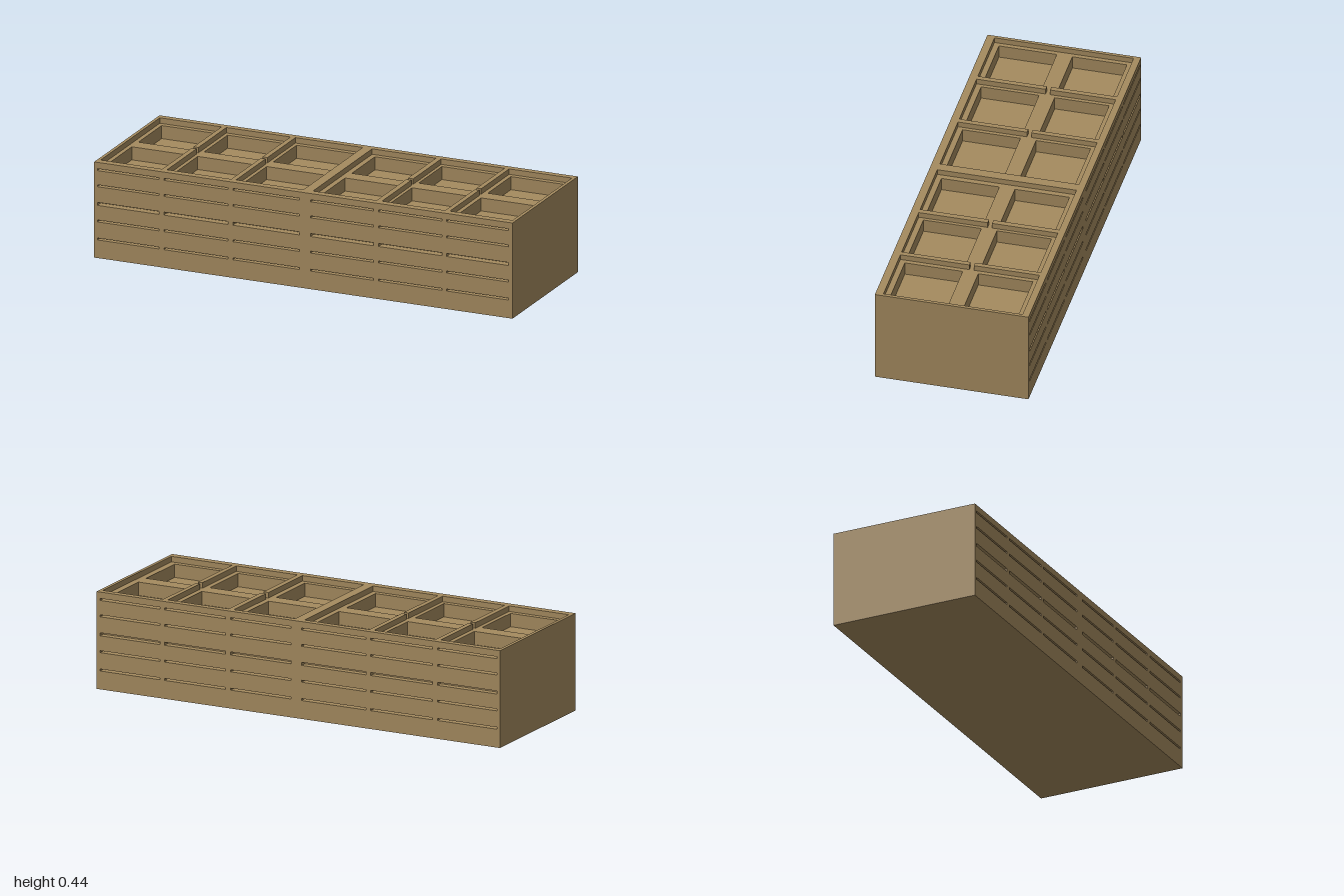
import * as THREE from 'three';

export function createModel() {
  const model = new THREE.Group();
  const tan = new THREE.MeshStandardMaterial({ color: 0xa58b5f });
  tan.name = 'tan';

  const H = 0.44, LEDGE = 0.415, FLOOR = 0.355;
  const Z0 = -0.315, Z1 = 0.31, ZEND = 0.345;

  const add = (name, geometry) => {
    const mesh = new THREE.Mesh(geometry, tan);
    mesh.name = name;
    model.add(mesh);
    return mesh;
  };
  const box = (name, x0, x1, y0, y1, z0, z1) =>
    add(name, new THREE.BoxGeometry(x1 - x0, y1 - y0, z1 - z0))
      .position.set((x0 + x1) / 2, (y0 + y1) / 2, (z0 + z1) / 2);

  // Flat plate with rectangular openings, each given as [x0, x1, y0, y1]
  const trace = (path, [x0, x1, y0, y1]) => {
    path.moveTo(x0, y0);
    path.lineTo(x1, y0);
    path.lineTo(x1, y1);
    path.lineTo(x0, y1);
    path.closePath();
    return path;
  };
  const plate = (outline, holes, depth) => {
    const shape = trace(new THREE.Shape(), outline);
    shape.holes = holes.map(h => trace(new THREE.Path(), h));
    return new THREE.ExtrudeGeometry(shape, { depth, bevelEnabled: false });
  };

  // Solid body below the pockets
  box('body', -1, 1, 0, FLOOR, Z0, Z1);

  // Tray layer with two rows of six pockets
  const pocketsX = [[-0.965, -0.71], [-0.65, -0.38], [-0.32, -0.04], [0.055, 0.31], [0.375, 0.64], [0.705, 0.955]];
  const pocketsZ = [[-0.29, -0.045], [0.025, 0.285]];
  const pockets = pocketsZ.flatMap(([z0, z1]) => pocketsX.map(([x0, x1]) => [x0, x1, -z1, -z0]));
  const tray = add('pocketTray', plate([-1, 1, -Z1, -Z0], pockets, LEDGE - FLOOR));
  tray.rotation.x = -Math.PI / 2;
  tray.position.y = FLOOR;

  // Long walls with five rows of six slots
  const slotsX = [[-0.985, -0.69], [-0.667, -0.36], [-0.337, -0.017], [0.035, 0.335], [0.36, 0.663], [0.685, 0.982]];
  const slotsY = [[0.402, 0.411], [0.328, 0.337], [0.242, 0.256], [0.166, 0.175], [0.083, 0.092]];
  const slots = slotsY.flatMap(([y0, y1]) => slotsX.map(([x0, x1]) => [x0, x1, y0, y1]));
  add('frontWall', plate([-1, 1, 0, H], slots, ZEND - Z1)).position.z = Z1;
  add('backWall', plate([-1, 1, 0, H], slots, ZEND + Z0)).position.z = -ZEND;

  // Rim closing the two short ends
  box('rightRim', -1, -0.985, LEDGE, H, Z0, Z1);
  box('leftRim', 0.985, 1, LEDGE, H, Z0, Z1);

  // Ridges between pockets: one full-width in the centre, the rest split per row
  box('centreDivider', -0.015, 0.03, LEDGE, H, Z0, Z1);
  for (const [x0, x1] of [[-0.69, -0.667], [-0.36, -0.337], [0.335, 0.36], [0.663, 0.685]]) {
    box('backDivider', x0, x1, LEDGE, H, Z0, -0.02);
    box('frontDivider', x0, x1, LEDGE, H, 0, Z1);
  }

  return model;
}
